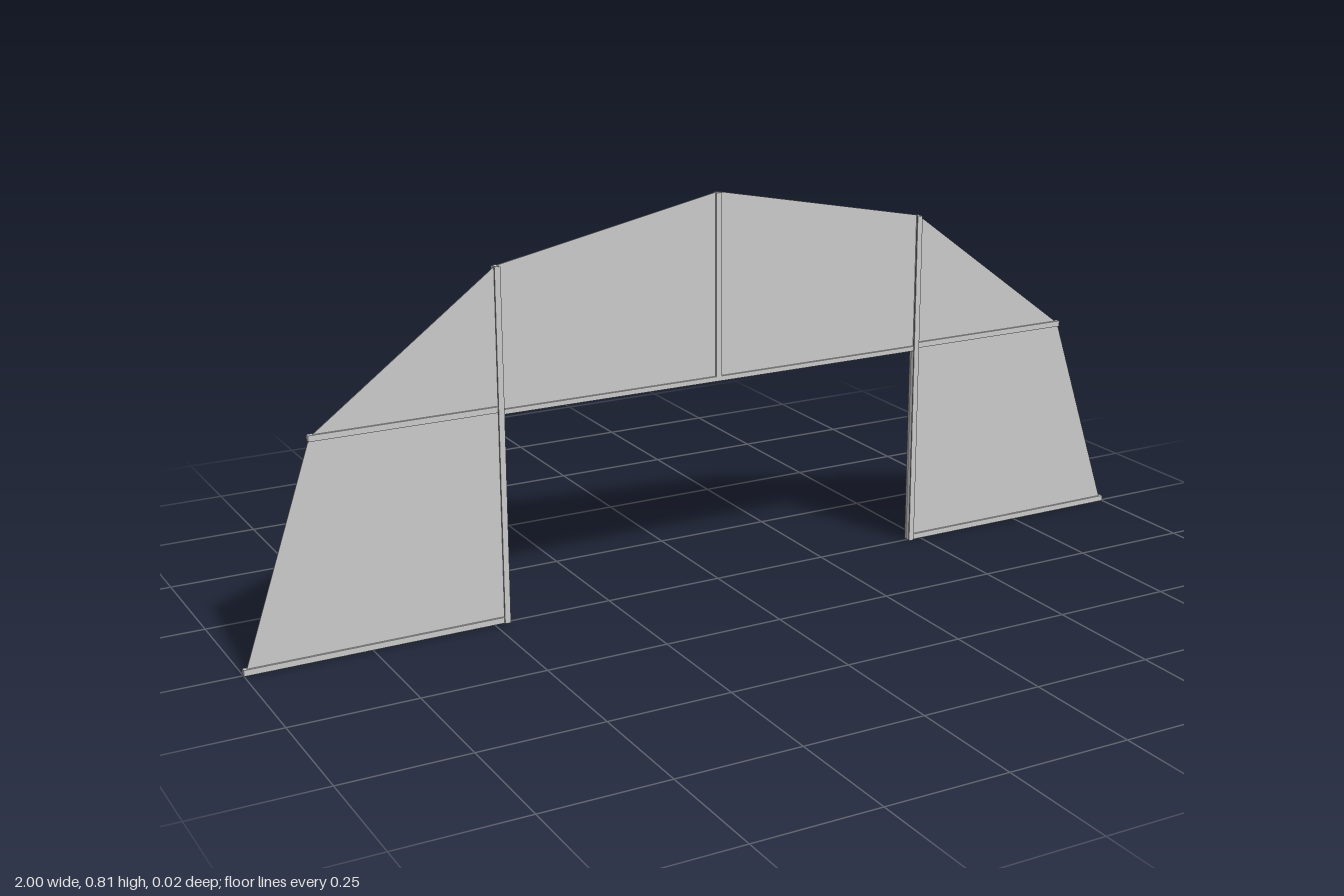
import * as THREE from 'three';

export function createModel() {
  const model = new THREE.Group();
  const mat = new THREE.MeshStandardMaterial({ color: 0xcccccc, flatShading: true, side: THREE.DoubleSide });

  // Flat sheet cut to an outline, centred on z = 0
  const sheet = (name, points, side = 1) => {
    const shape = new THREE.Shape(points.map(([x, y]) => new THREE.Vector2(x * side, y)));
    const geo = new THREE.ExtrudeGeometry(shape, { depth: 0.002, bevelEnabled: false });
    geo.translate(0, 0, -0.001);
    const mesh = new THREE.Mesh(geo, mat);
    mesh.name = name;
    model.add(mesh);
  };

  // Straight bar given by its limits on each axis
  const bar = (name, x0, x1, y0, y1, z0, z1) => {
    const mesh = new THREE.Mesh(new THREE.BoxGeometry(x1 - x0, y1 - y0, z1 - z0), mat);
    mesh.name = name;
    mesh.position.set((x0 + x1) / 2, (y0 + y1) / 2, (z0 + z1) / 2);
    model.add(mesh);
  };

  for (const [side, label] of [[1, 'left'], [-1, 'right']]) {
    // Wall panels
    sheet(label + 'LowerPanel', [[0.475, 0.005], [0.995, 0.005], [0.85, 0.437], [0.475, 0.437]], side);
    sheet(label + 'ShoulderPanel', [[0.475, 0.437], [0.85, 0.437], [0.475, 0.715]], side);
    sheet(label + 'CentrePanel', [[0, 0.43], [0.475, 0.43], [0.475, 0.715], [0, 0.81]], side);

    // Rails along the foot and shoulder of each side wall
    const span = (a, b) => (side > 0 ? [a, b] : [-b, -a]);
    bar(label + 'FootRail', ...span(0.475, 1), 0, 0.012, -0.006, 0.005);
    bar(label + 'ShoulderRail', ...span(0.475, 0.853), 0.43, 0.442, -0.006, 0.005);

    // Door post: narrow web with a flange on each face
    bar(label + 'PostWeb', ...span(0.47, 0.478), 0, 0.715, -0.007, 0.008);
    bar(label + 'PostBackFlange', ...span(0.468, 0.48), 0, 0.714, -0.009, -0.006);
    bar(label + 'PostFrontFlange', ...span(0.468, 0.48), 0, 0.714, 0.006, 0.009);
  }

  // Lintel over the opening and the ridge post above it
  bar('lintel', -0.474, 0.474, 0.425, 0.435, -0.009, 0.005);
  bar('ridgePost', -0.006, 0.006, 0.425, 0.808, -0.009, 0.005);

  return model;
}
